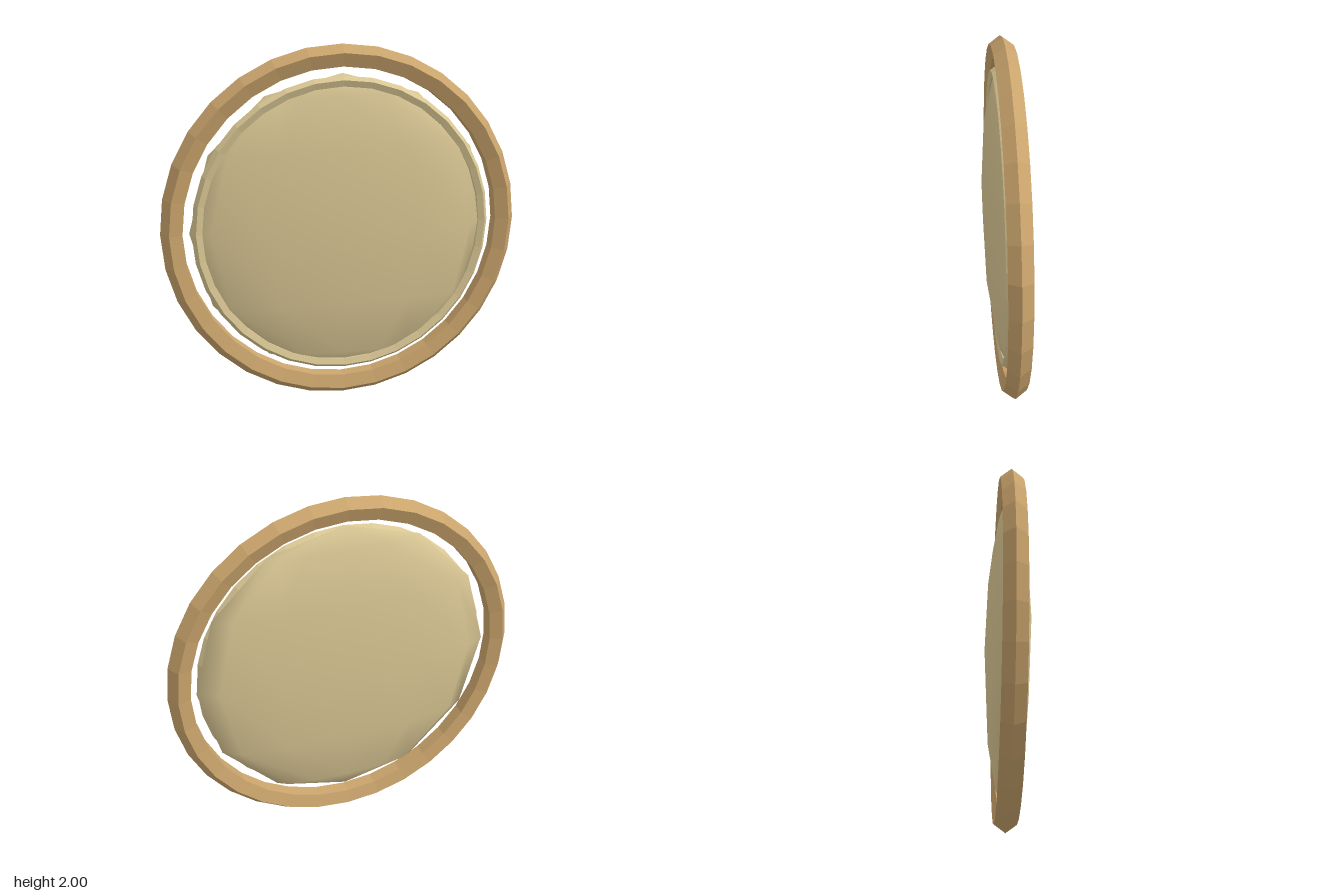
import * as THREE from 'three';

export function createModel() {
  const model = new THREE.Group();

  const wood = new THREE.MeshStandardMaterial({ color: 0xcaa46c, flatShading: true });
  wood.name = 'tan wood';
  const cream = new THREE.MeshStandardMaterial({ color: 0xdac794 });
  cream.name = 'cream';
  const creamFlat = new THREE.MeshStandardMaterial({ color: 0xdac794, flatShading: true });
  creamFlat.name = 'cream faceted';

  const add = (name, geometry, material, z = 0) => {
    const mesh = new THREE.Mesh(geometry, material);
    mesh.name = name;
    mesh.position.set(0, 1, z);
    model.add(mesh);
    return mesh;
  };

  // Outer hoop with a five-sided section, point outwards
  add('outerHoop', new THREE.TorusGeometry(0.935, 0.065, 5, 32), wood);

  // Lens-shaped body: a low-poly sphere flattened front to back
  add('lensBody', new THREE.SphereGeometry(0.845, 12, 6), cream).scale.z = 0.148;

  // Thin raised rim set on the front of the lens
  add('frontRim', new THREE.TorusGeometry(0.803, 0.031, 5, 32), creamFlat, 0.03);

  return model;
}
